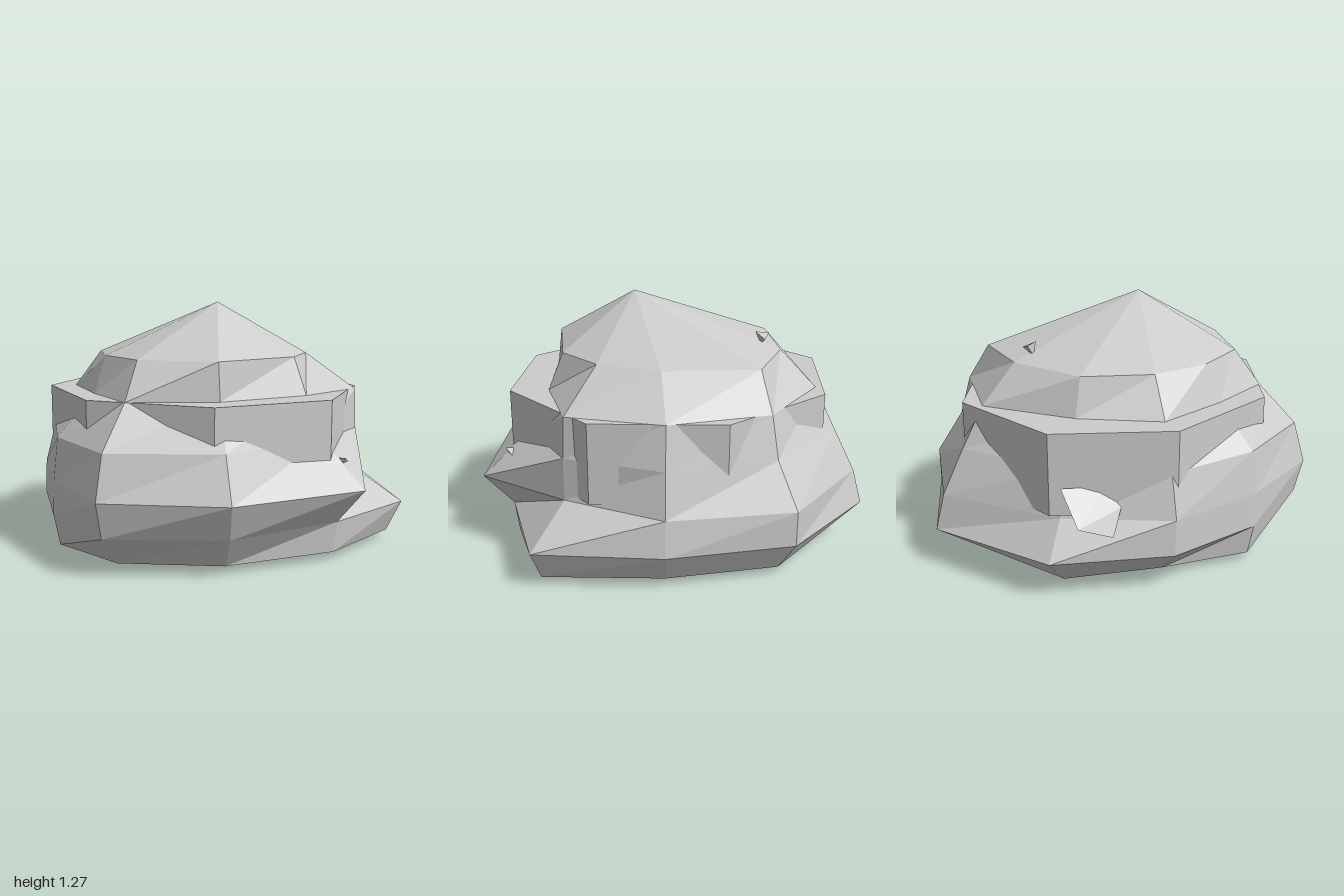
import * as THREE from 'three';
import { ConvexGeometry } from 'three/addons/geometries/ConvexGeometry.js';

const material = new THREE.MeshStandardMaterial({ color: 0xcccccc, flatShading: true });

// Skin stacked [x, z] outlines, closed by a bottom and a top point
function loft(levels, bottom, top) {
  const n = levels[0].ring.length;
  const pos = [], index = [];
  levels.forEach(({ y, ring }) => ring.forEach(([x, z]) => pos.push(x, y, z)));
  const low = n * levels.length, high = low + 1, last = n * (levels.length - 1);
  pos.push(...bottom, ...top);
  for (let k = 0; k < n; k++) {
    const next = (k + 1) % n;
    for (let i = 0; i < levels.length - 1; i++) {
      const a = i * n + k, b = i * n + next, c = a + n, d = b + n;
      index.push(a, c, b, b, c, d);
    }
    index.push(k, next, low, last + k, high, last + next);
  }
  const g = new THREE.BufferGeometry();
  g.setAttribute('position', new THREE.Float32BufferAttribute(pos, 3));
  g.setIndex(index);
  const flat = g.toNonIndexed();
  flat.computeVertexNormals();
  return flat;
}

export function createModel() {
  const group = new THREE.Group();
  const add = (name, geometry) => {
    const mesh = new THREE.Mesh(geometry, material);
    mesh.name = name;
    group.add(mesh);
    return mesh;
  };

  // Main boulder: ten-sided uneven rings, bottom to top
  add('boulder', loft([
    { y: 0.04, ring: [[0.83, -0.06], [0.58, 0.47], [0.17, 0.79], [-0.27, 0.79], [-0.57, 0.43],
      [-0.84, 0.02], [-0.70, -0.53], [-0.30, -0.87], [0.26, -0.79], [0.82, -0.58]] },
    { y: 0.20, ring: [[0.85, -0.06], [0.67, 0.54], [0.22, 0.93], [-0.28, 0.82], [-0.71, 0.54],
      [-1.00, 0.02], [-0.88, -0.66], [-0.34, -0.97], [0.29, -0.88], [0.88, -0.63]] },
    { y: 0.38, ring: [[1.00, -0.07], [0.73, 0.60], [0.23, 0.97], [-0.27, 0.82], [-0.70, 0.54],
      [-0.87, 0.02], [-0.84, -0.63], [-0.34, -0.97], [0.28, -0.85], [0.67, -0.48]] },
    { y: 0.60, ring: [[0.75, -0.06], [0.64, 0.54], [0.21, 0.91], [-0.27, 0.79], [-0.66, 0.50],
      [-0.80, 0.02], [-0.75, -0.56], [-0.29, -0.84], [0.26, -0.79], [0.67, -0.48]] },
    { y: 0.81, ring: [[0.64, -0.07], [0.48, 0.40], [0.16, 0.72], [-0.20, 0.60], [-0.56, 0.43],
      [-0.67, 0.02], [-0.67, -0.48], [-0.28, -0.78], [0.24, -0.74], [0.66, -0.48]] },
    { y: 1.00, ring: [[0.56, -0.07], [0.46, 0.39], [0.11, 0.59], [-0.20, 0.52], [-0.45, 0.34],
      [-0.61, 0.02], [-0.51, -0.38], [-0.27, -0.66], [0.19, -0.53], [0.45, -0.32]] },
  ], [0, 0, 0], [0.14, 1.27, 0.04]));

  // Flat-topped rock shelf running around the boulder
  const shelf = [[0.83, -0.02], [0.58, 0.55], [-0.04, 0.79], [-0.65, 0.53],
    [-0.90, -0.02], [-0.66, -0.60], [-0.04, -0.83], [0.58, -0.60]];
  add('shelf', loft([{ y: 0.40, ring: shelf }, { y: 0.81, ring: shelf }],
    [0, 0.40, 0], [0, 0.81, 0]));

  // Jagged pebble wedged in the right side
  const spikes = [[-1, 0.41, 0.17], [-0.9, 0.55, 0.04], [-0.77, 0.53, 0.2],
    [-0.77, 0.44, 0.29], [-0.87, 0.33, 0.29], [-0.82, 0.34, 0.1]];
  add('pebble', new ConvexGeometry(spikes.map((p) => new THREE.Vector3(...p))));

  // Tiny chips poking out of the surface
  [[0.85, 0.5, -0.09, 0.04], [-0.43, 1.06, -0.33, 0.045]].forEach(([x, y, z, r], i) => {
    const chip = add('chip' + (i + 1), new THREE.TetrahedronGeometry(r));
    chip.position.set(x, y, z);
    chip.rotation.set(0.4, 0.7, 0.2);
  });

  return group;
}
